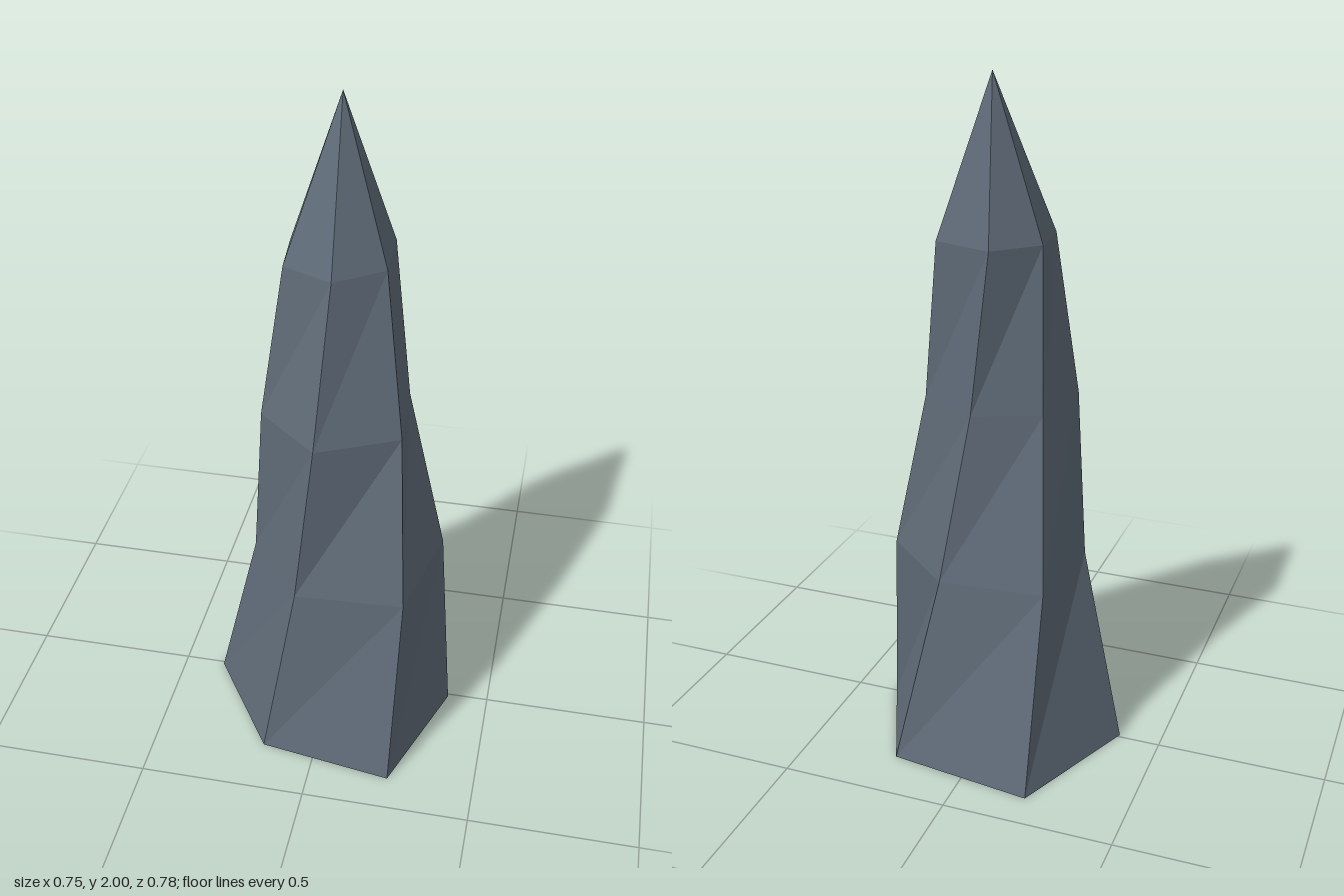
import * as THREE from 'three';

// Cross-sections of the spire, bottom to top: height, then six [x, z] corners
const rings = [
  { y: 0, pts: [[0.24, 0.39], [0.375, 0.01], [0.222, -0.333], [-0.208, -0.39], [-0.16, 0.33], [-0.375, 0.01]] },
  { y: 0.58, pts: [[0.252, 0.256], [0.323, -0.068], [0.1, -0.265], [-0.206, -0.242], [-0.066, 0.272], [-0.235, 0.058]] },
  { y: 1.08, pts: [[0.215, 0.13], [0.2, -0.105], [0.022, -0.21], [-0.165, -0.138], [-0.014, 0.24], [-0.198, 0.081]] },
  { y: 1.55, pts: [[0.148, 0.03], [0.142, -0.148], [-0.03, -0.2], [-0.144, -0.09], [0.015, 0.127], [-0.13, 0.063]] },
];
const apex = [0.006, 2, -0.072];
const order = [0, 1, 2, 3, 5, 4]; // corners counter-clockwise seen from above

export function createModel() {
  const group = new THREE.Group();
  group.name = 'rockSpire';
  const stone = new THREE.MeshStandardMaterial({ color: 0x5f6b78, flatShading: true });
  stone.name = 'slateStone';

  const corner = (r, i) => {
    const [x, z] = rings[r].pts[order[i % 6]];
    return [x, rings[r].y, z];
  };
  const build = (name, triangles) => {
    const geometry = new THREE.BufferGeometry();
    geometry.setAttribute('position', new THREE.Float32BufferAttribute(triangles.flat(2), 3));
    geometry.computeVertexNormals();
    const mesh = new THREE.Mesh(geometry, stone);
    mesh.name = name;
    group.add(mesh);
  };

  // Twisted shaft: one band of six facets between each pair of rings
  const shaft = [];
  for (let r = 0; r < rings.length - 1; r++) {
    for (let i = 0; i < 6; i++) {
      const a = corner(r, i), b = corner(r, i + 1);
      const c = corner(r + 1, i + 1), d = corner(r + 1, i);
      shaft.push([a, b, c], [a, c, d]);
    }
  }
  build('shaft', shaft);

  // Pointed tip and flat underside
  const tip = [], base = [];
  for (let i = 0; i < 6; i++) {
    tip.push([corner(3, i), corner(3, i + 1), apex]);
    base.push([corner(0, i + 1), corner(0, i), [0, 0, 0]]);
  }
  build('tip', tip);
  build('base', base);

  return group;
}
